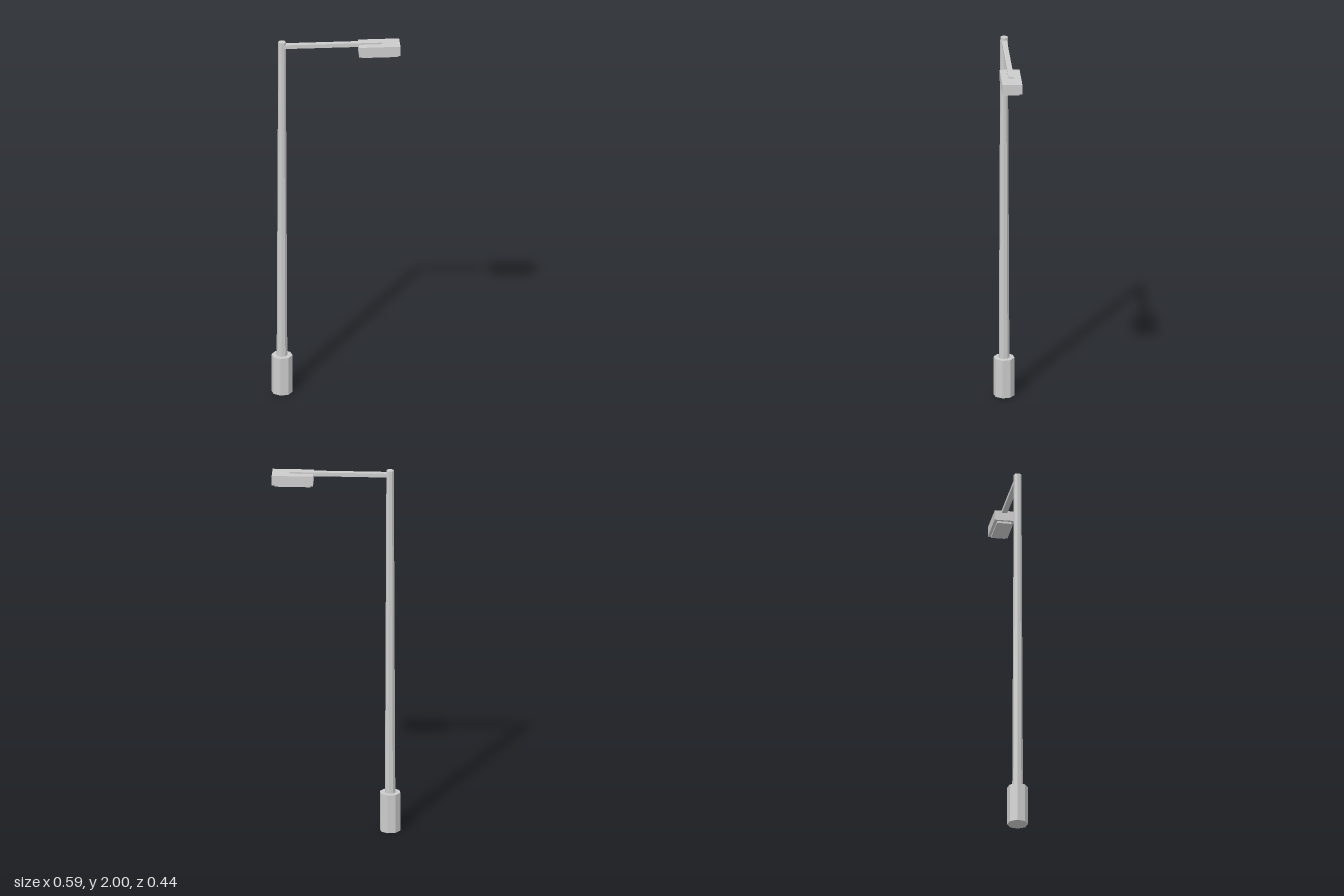
import * as THREE from 'three';

export function createModel() {
  const model = new THREE.Group();
  model.name = 'streetLamp';
  const material = new THREE.MeshStandardMaterial({ color: 0xcccccc, flatShading: true });

  const add = (parent, name, geometry, x, y) => {
    const mesh = new THREE.Mesh(geometry, material);
    mesh.name = name;
    mesh.position.set(x, y, 0);
    parent.add(mesh);
  };
  // Eight-sided column between two heights
  const column = (name, rTop, rBottom, y0, y1) =>
    add(post, name, new THREE.CylinderGeometry(rTop, rBottom, y1 - y0, 8), 0, (y0 + y1) / 2);
  // Box along the arm, from x0 to x1 and y0 to y1
  const bar = (name, x0, x1, y0, y1, width) =>
    add(boom, name, new THREE.BoxGeometry(x1 - x0, y1 - y0, width), (x0 + x1) / 2, (y0 + y1) / 2);

  // Upright: wide base and tapered pole
  const post = new THREE.Group();
  post.name = 'post';
  post.position.set(-0.242, 0, -0.165);
  model.add(post);
  column('base', 0.055, 0.055, 0, 0.21);
  column('pole', 0.02, 0.028, 0.2, 2);

  // Arm and lamp, swung towards the front left
  const boom = new THREE.Group();
  boom.name = 'boom';
  boom.rotation.y = -Math.atan2(0.28, 0.42);
  post.add(boom);
  bar('arm', 0, 0.522, 1.965, 1.986, 0.028);
  bar('lampHousing', 0.398, 0.613, 1.923, 1.977, 0.104);
  bar('lampLens', 0.412, 0.599, 1.912, 1.93, 0.075);

  return model;
}
